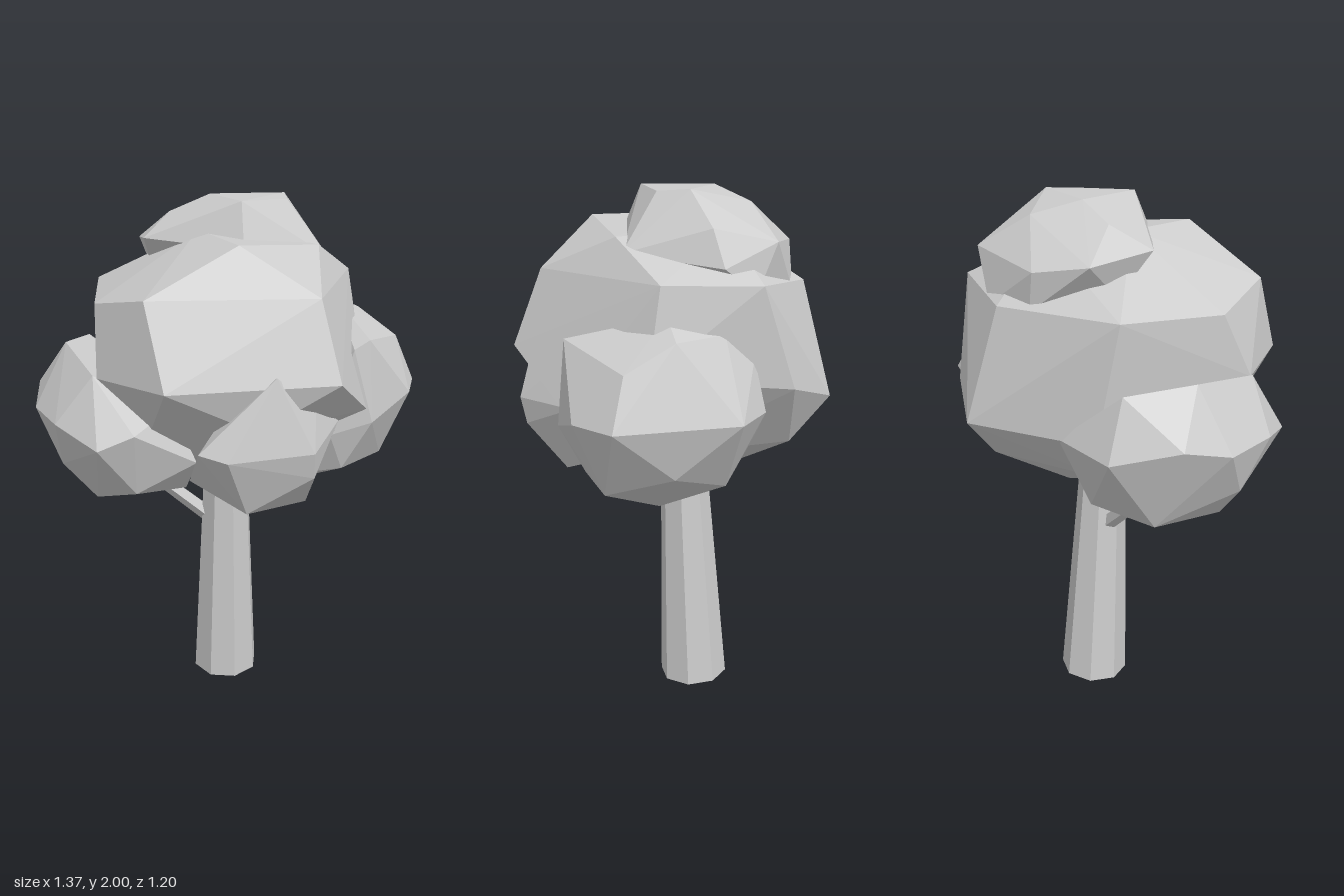
import * as THREE from 'three';
import { ConvexGeometry } from 'three/addons/geometries/ConvexGeometry.js';

const grey = new THREE.MeshStandardMaterial({ color: 0xcccccc, flatShading: true });
grey.name = 'plain grey';

function add(group, name, geometry) {
  const mesh = new THREE.Mesh(geometry, grey);
  mesh.name = name;
  group.add(mesh);
  return mesh;
}

// Tapered limb between two points
function limb(group, name, from, to, r0, r1, sides) {
  const a = new THREE.Vector3(...from);
  const dir = new THREE.Vector3(...to).sub(a);
  const length = dir.length();
  const geo = new THREE.CylinderGeometry(r1, r0, length, sides);
  geo.rotateY(Math.PI / sides);
  const mesh = add(group, name, geo);
  mesh.quaternion.setFromUnitVectors(new THREE.Vector3(0, 1, 0), dir.clone().normalize());
  mesh.position.copy(a).addScaledVector(dir, 0.5);
}

// Faceted leaf clump: the hull of a few corner points
function clump(group, name, corners) {
  add(group, name, new ConvexGeometry(corners.map((p) => new THREE.Vector3(...p))));
}

export function createModel() {
  const tree = new THREE.Group();
  tree.name = 'tree';

  // Leaning eight-sided trunk and two thin branches
  limb(tree, 'trunk', [0.053, 0.006, -0.08], [0.02, 1.1, -0.035], 0.136, 0.084, 8);
  limb(tree, 'rightBranch', [-0.01, 0.71, -0.08], [-0.3, 1.0, -0.23], 0.033, 0.026, 5);
  limb(tree, 'leftBranch', [0.05, 0.79, -0.02], [0.27, 1.04, 0.08], 0.033, 0.026, 5);

  // Main crown, from the top down
  clump(tree, 'mainCrown', [
    [-0.18, 1.88, 0.27], [0.22, 1.84, 0.25], [-0.1, 1.89, -0.05], [0.2, 1.86, -0.15],
    [0, 1.71, 0.49], [-0.51, 1.72, 0.17], [0.49, 1.71, 0.15], [0.51, 1.7, -0.2],
    [0.22, 1.67, -0.44], [-0.27, 1.68, -0.46], [-0.5, 1.66, -0.14],
    [0, 1.43, 0.6], [-0.53, 1.43, 0.3], [-0.57, 1.42, -0.04], [0.52, 1.4, 0.2],
    [0.48, 1.33, -0.33], [0.31, 1.25, -0.53], [-0.2, 1.25, -0.5],
    [0.29, 1.25, 0.46], [-0.22, 1.26, 0.42], [-0.46, 1.24, 0.12],
    [0.3, 1.08, -0.38], [-0.15, 1.05, -0.34], [0.3, 1.06, 0.12],
    [-0.2, 1.05, 0.15], [0.1, 0.93, -0.18], [-0.04, 0.94, -0.14], [0.04, 0.95, 0.06],
  ]);

  // Cap leaning over the top of the crown
  clump(tree, 'topClump', [
    [-0.03, 2, 0.11], [0.2, 1.99, 0.1], [0.28, 2, 0], [0.04, 2, -0.15],
    [0.2, 1.95, -0.24], [-0.1, 1.94, -0.22], [0.4, 1.88, -0.05], [0.4, 1.83, -0.28],
    [-0.25, 1.86, -0.18], [-0.12, 1.83, -0.39], [0.08, 1.8, -0.43], [0.45, 1.75, -0.08],
    [0.43, 1.66, -0.2], [0.28, 1.79, 0.24], [-0.07, 1.84, 0.17],
    [0.1, 1.66, -0.42], [0.3, 1.65, -0.37], [-0.15, 1.7, -0.25],
  ]);

  // Clump on the tree's right, towards the back
  clump(tree, 'rightClump', [
    [-0.58, 1.43, -0.05], [-0.5, 1.48, -0.35], [-0.3, 1.45, -0.5],
    [-0.3, 1.24, -0.6], [-0.53, 1.3, -0.51], [-0.64, 1.25, -0.36], [-0.69, 1.25, -0.14],
    [-0.66, 1.2, 0.08], [-0.55, 1.25, 0.15], [-0.35, 1.3, 0.1], [-0.05, 1.25, -0.5],
    [-0.62, 1.06, -0.22], [-0.5, 1, 0.08], [-0.3, 1.1, 0.18], [-0.4, 0.97, -0.45],
    [-0.15, 1, -0.45], [-0.52, 0.92, -0.15], [-0.25, 0.95, 0.05],
    [-0.3, 0.86, -0.22], [-0.12, 0.91, -0.2],
  ]);

  // Clump on the tree's left
  clump(tree, 'leftClump', [
    [0.45, 1.6, 0.12], [0.59, 1.54, 0.12], [0.5, 1.54, -0.07], [0.48, 1.45, -0.18],
    [0.62, 1.45, 0.3], [0.3, 1.51, 0.45], [0.24, 1.48, 0.43],
    [0.53, 1.27, -0.21], [0.67, 1.27, -0.09], [0.68, 1.27, 0.35], [0.53, 1.27, 0.46],
    [0.3, 1.2, 0.48], [0.18, 1.15, 0.38], [0.35, 1.15, -0.24], [0.62, 1.08, 0.13],
    [0.5, 1, -0.08], [0.5, 1, 0.35], [0.25, 1, 0.38], [0.2, 1.05, -0.1],
    [0.12, 0.93, 0.15], [0.32, 0.87, 0.12],
  ]);

  // Front clump, whose tip pokes out through the crown
  clump(tree, 'frontClump', [
    [-0.2, 1.47, 0.49], [-0.25, 1.32, 0.45], [0, 1.31, 0.48], [-0.1, 1.35, 0.2],
    [-0.43, 1.21, 0.35], [-0.39, 1.2, 0.46], [-0.1, 1.2, 0.58], [0.18, 1.22, 0.42],
    [-0.08, 1.1, 0.56], [-0.35, 1.05, 0.2], [0.15, 1.1, 0.15], [0.15, 1, 0.35],
    [-0.27, 0.97, 0.42], [0.02, 0.94, 0.42], [-0.1, 0.93, 0.28], [-0.1, 0.98, 0.08],
  ]);

  return tree;
}
